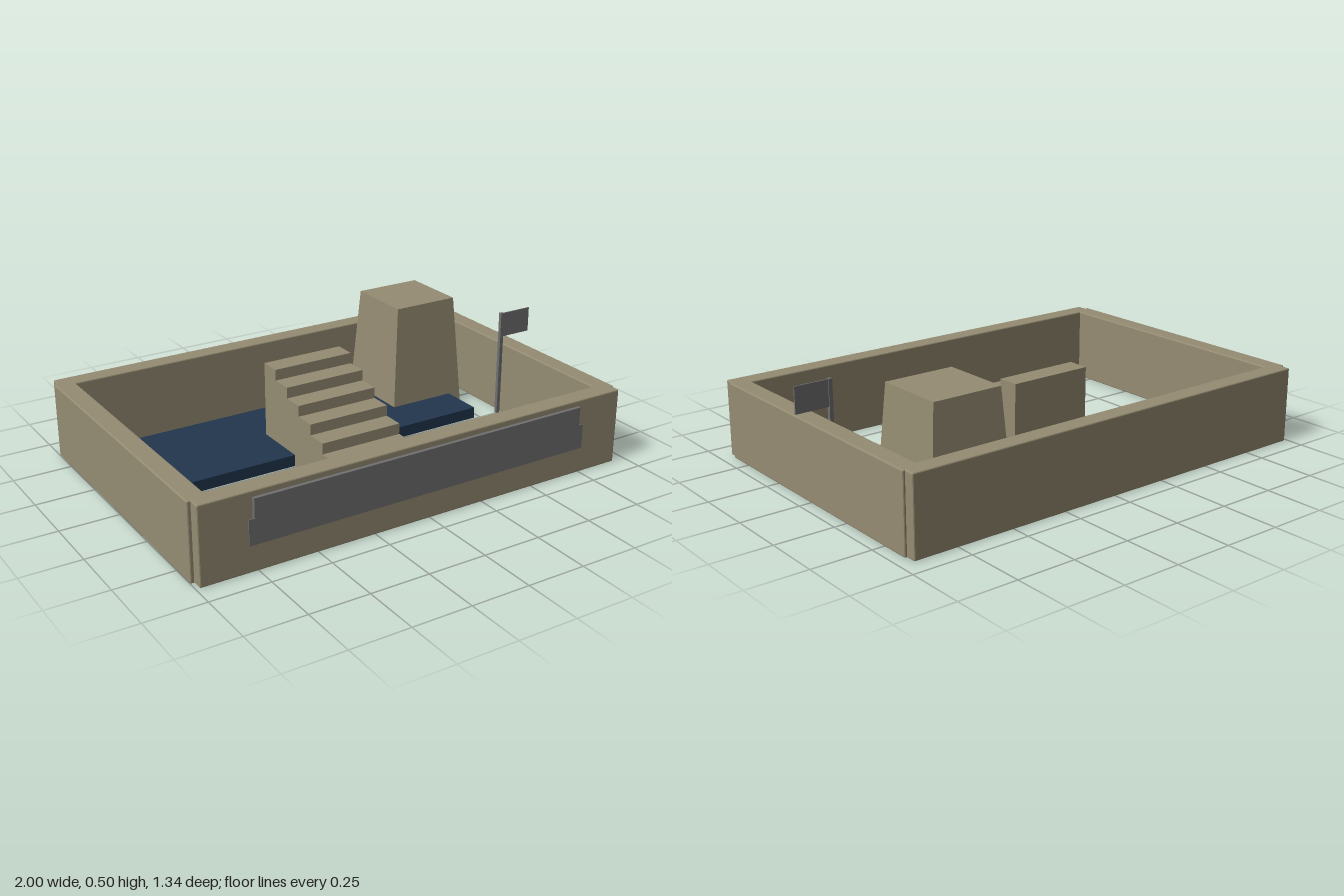
import * as THREE from 'three';
import { RoundedBoxGeometry } from 'three/addons/geometries/RoundedBoxGeometry.js';

const stone = new THREE.MeshStandardMaterial({ name: 'sandstone', color: 0x958c72 });
const metal = new THREE.MeshStandardMaterial({ name: 'grey metal', color: 0x707070 });
const water = new THREE.MeshStandardMaterial({ name: 'navy water', color: 0x22364e });

export function createModel() {
  const model = new THREE.Group();
  model.name = 'walledCourtyard';

  const add = (name, geometry, material) => {
    const mesh = new THREE.Mesh(geometry, material);
    mesh.name = name;
    model.add(mesh);
    return mesh;
  };

  // Box given by its limits on each axis, optionally with a small chamfer
  const box = (name, material, [x0, x1], [y0, y1], [z0, z1], chamfer = 0) => {
    const size = [x1 - x0, y1 - y0, z1 - z0];
    let geometry = new THREE.BoxGeometry(...size);
    if (chamfer) {
      geometry = new RoundedBoxGeometry(...size, 1, chamfer);
      if (geometry.index) geometry = geometry.toNonIndexed();
      geometry.computeVertexNormals();
    }
    add(name, geometry, material).position.set((x0 + x1) / 2, (y0 + y1) / 2, (z0 + z1) / 2);
  };

  // Perimeter walls; the side walls stand slightly proud of the front and back ones
  const wallY = [0, 0.325];
  box('frontWall', stone, [-0.985, 0.94], wallY, [0.575, 0.657], 0.005);
  box('backWall', stone, [-0.985, 0.94], wallY, [-0.672, -0.592], 0.005);
  box('leftWall', stone, [0.87, 0.95], wallY, [-0.628, 0.612], 0.005);
  box('rightWall', stone, [-1, -0.917], wallY, [-0.628, 0.612], 0.005);

  // Pool slab
  box('pool', water, [-0.77, 0.722], [0, 0.05], [-0.508, -0.01]);

  // Solid staircase, extruded from its side profile
  const steps = 8, rise = 0.378 / steps, tread = 0.745 / steps;
  const profile = new THREE.Shape();
  profile.moveTo(0, 0);
  for (let i = 0; i < steps; i++) {
    profile.lineTo(i * tread, (i + 1) * rise);
    profile.lineTo((i + 1) * tread, (i + 1) * rise);
  }
  profile.lineTo(steps * tread, 0);
  const stairs = new THREE.ExtrudeGeometry(profile, { depth: 0.37, bevelEnabled: false });
  stairs.rotateY(Math.PI / 2);
  stairs.translate(-0.21, 0, 0.49);
  add('staircase', stairs, stone);

  // Tapered tower
  const tower = new THREE.BoxGeometry(0.37, 0.5, 0.366);
  const p = tower.attributes.position;
  for (let i = 0; i < p.count; i++) {
    if (p.getY(i) > 0) {
      p.setX(i, Math.sign(p.getX(i)) * 0.15);
      p.setZ(i, Math.sign(p.getZ(i)) * 0.15);
    }
  }
  tower.computeVertexNormals();
  add('tower', tower, stone).position.set(0.6, 0.25, -0.382);

  // Flag on its post beside the left wall
  box('flagPost', metal, [0.84, 0.856], [0, 0.477], [-0.012, 0.004]);
  box('flag', metal, [0.856, 1], [0.366, 0.475], [-0.008, -0.002]);

  // Sign panel with a thin lower sheet on the front wall
  box('signPanel', metal, [-0.77, 0.722], [0.218, 0.3], [0.655, 0.672]);
  box('signSheet', metal, [-0.792, 0.745], [0.115, 0.22], [0.666, 0.669]);

  return model;
}
